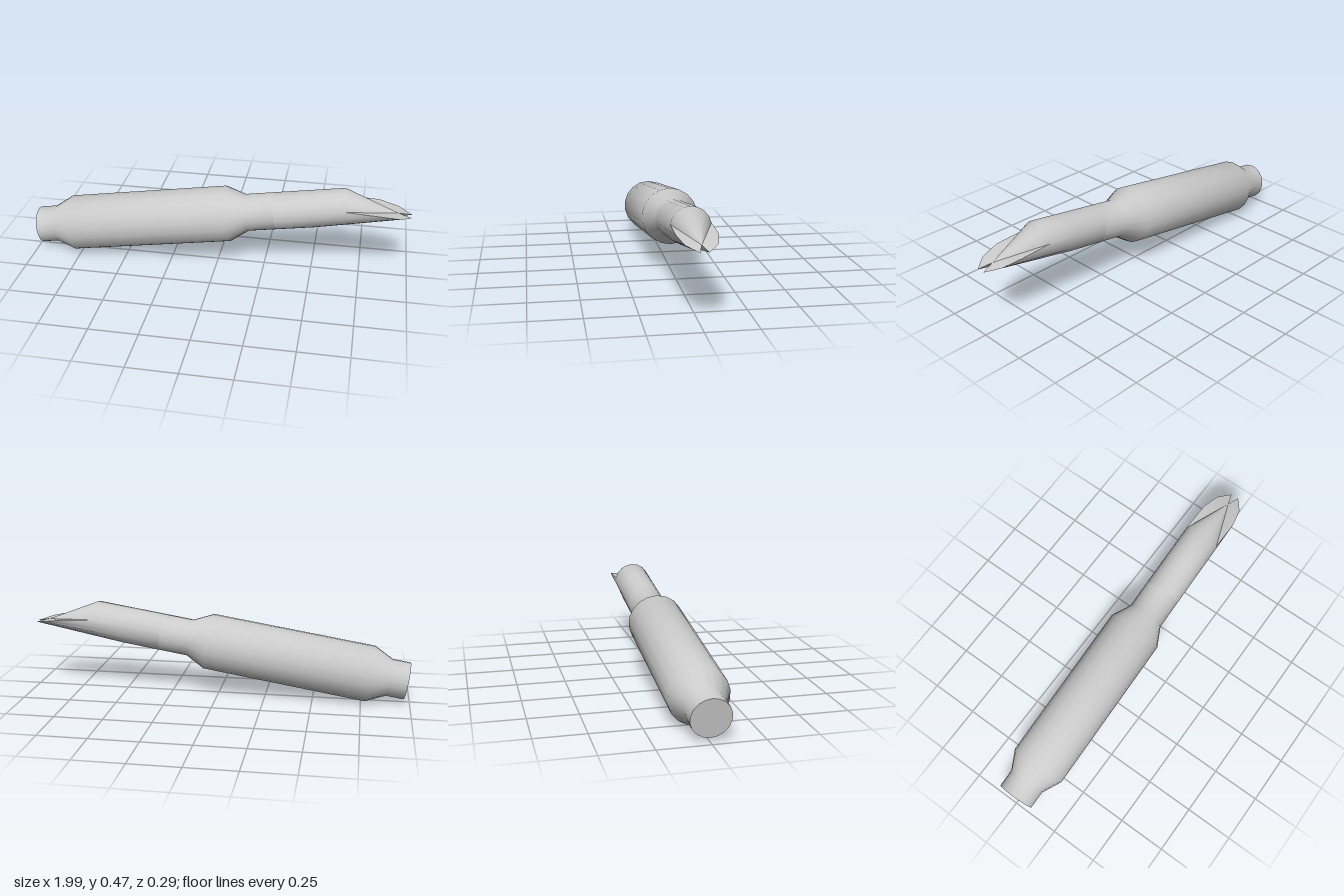
import * as THREE from 'three';
import { toCreasedNormals } from 'three/addons/utils/BufferGeometryUtils.js';

const SIDES = 18;
const STEP = (Math.PI * 2) / SIDES;

// Round cross-section at distance s along the pipe axis
function ring(s, r) {
  return Array.from({ length: SIDES }, (_, j) => [s, r * Math.cos(j * STEP), r * Math.sin(j * STEP)]);
}

// Skin a list of rings; optional centre points close the two ends
function loft(rings, startCentre, endCentre) {
  const points = rings.flat();
  const index = [];
  const last = (rings.length - 1) * SIDES;
  for (let i = 0; i < rings.length - 1; i++) {
    for (let j = 0; j < SIDES; j++) {
      const k = (j + 1) % SIDES;
      const a = i * SIDES + j, b = i * SIDES + k;
      index.push(a, b, a + SIDES, b, b + SIDES, a + SIDES);
    }
  }
  const close = (centre, base, flip) => {
    const c = points.push(centre) - 1;
    for (let j = 0; j < SIDES; j++) {
      const a = base + j, b = base + ((j + 1) % SIDES);
      index.push(c, flip ? b : a, flip ? a : b);
    }
  };
  if (startCentre) close(startCentre, 0, true);
  if (endCentre) close(endCentre, last, false);
  const geometry = new THREE.BufferGeometry();
  geometry.setAttribute('position', new THREE.Float32BufferAttribute(points.flat(), 3));
  geometry.setIndex(index);
  return toCreasedNormals(geometry, 0.65);
}

export function createModel() {
  const material = new THREE.MeshStandardMaterial({ color: 0xcccccc, side: THREE.DoubleSide });
  const pipe = new THREE.Group();
  pipe.name = 'exhaustPipe';
  const add = (name, geometry) => {
    const mesh = new THREE.Mesh(geometry, material);
    mesh.name = name;
    pipe.add(mesh);
  };

  // Inlet collar, wide chamber and the start of the outlet
  const profile = [[0, 0.097], [0.093, 0.097], [0.193, 0.147], [1.05, 0.147], [1.15, 0.097], [1.3, 0.097]];
  add('mufflerBody', loft(profile.map(([s, r]) => ring(s, r)), [0, 0, 0], null));

  // Slanted tip: the lower rim reaches forward into two points with a notch between
  const rim = ring(1.67, 0.097);
  const lowerRim = [
    [1.83, -0.017, 0.0955],
    [1.925, -0.05, 0.073],
    [1.957, -0.064, 0.048],
    [1.99, -0.077, 0.02],
  ];
  lowerRim.forEach(([s, t, z], n) => {
    rim[5 + n] = [s, t, z];
    rim[13 - n] = [s, t, -z];
  });
  rim[9] = [1.55, -0.097, 0];
  add('slantedTip', loft([ring(1.3, 0.097), ring(1.5, 0.097), rim], null, [1.925, -0.052, 0]));

  // Tilt the pipe upward towards the tip
  pipe.rotation.z = 0.159;
  pipe.position.set(-0.983, 0.115, 0);
  const model = new THREE.Group();
  model.name = 'muffler';
  model.add(pipe);
  return model;
}
